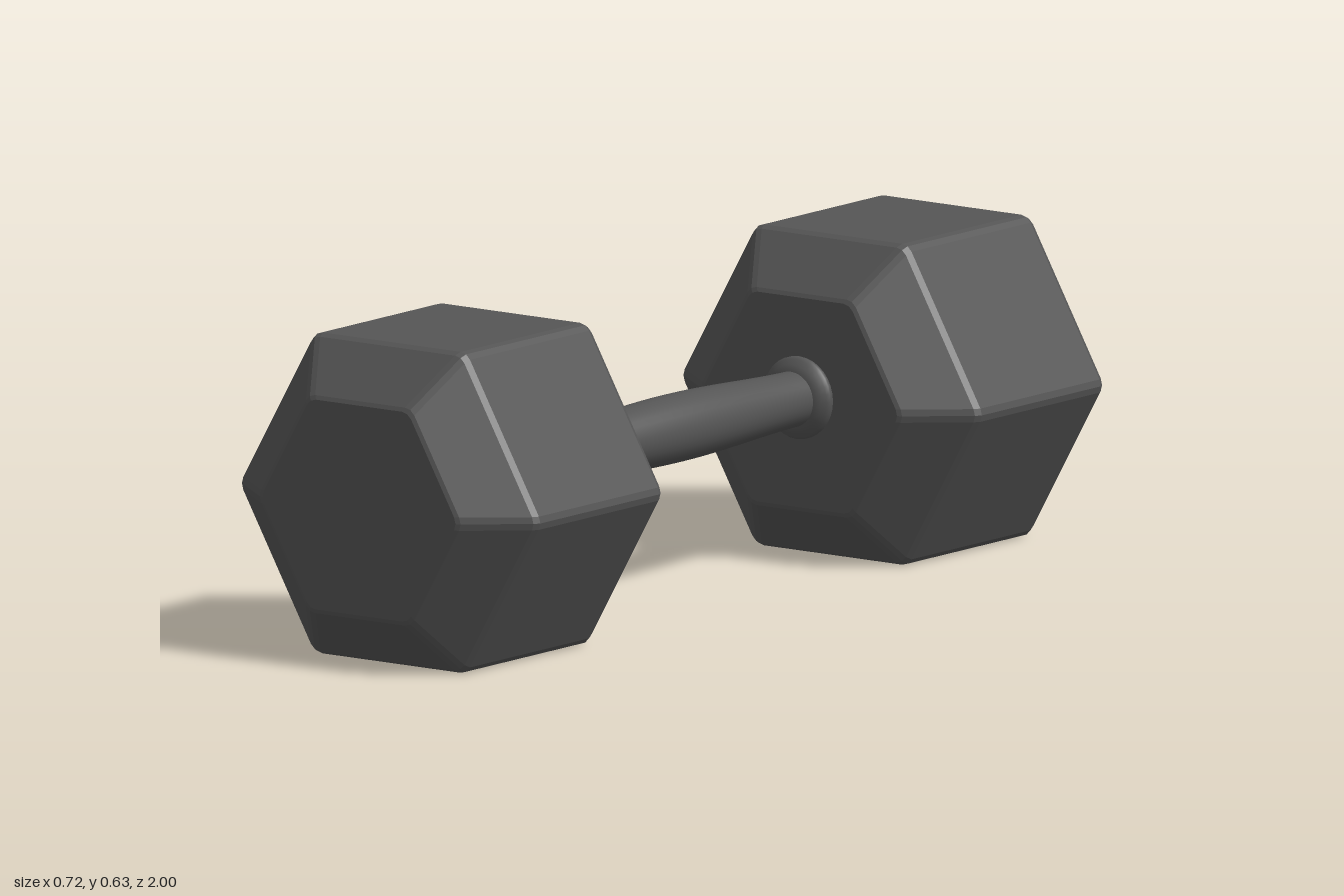
import * as THREE from 'three';

// Hexagon outline with rounded corners: three points per corner, flat sides up and down
function hexRing(apothem, z) {
  const r = 0.026, reach = (apothem - r) / Math.cos(Math.PI / 6), points = [];
  for (let i = 0; i < 6; i++) {
    const a = i * Math.PI / 3;
    for (const turn of [-Math.PI / 6, 0, Math.PI / 6]) {
      points.push([
        reach * Math.cos(a) + r * Math.cos(a + turn),
        reach * Math.sin(a) + r * Math.sin(a + turn), z]);
    }
  }
  return points;
}

// Faceted block joined from hexagon rings, capped at both ends
function headGeometry() {
  const half = [[0.206, 0.295], [0.214, 0.291], [0.309, 0.203], [0.315, 0.19]];
  const rings = [
    ...half.map(([a, z]) => hexRing(a, -z)),
    ...half.slice().reverse().map(([a, z]) => hexRing(a, z))];
  const n = rings[0].length, pos = [];
  const tri = (...corners) => corners.forEach(c => pos.push(...c));
  for (let k = 0; k < rings.length - 1; k++) {
    for (let i = 0; i < n; i++) {
      const j = (i + 1) % n, lo = rings[k], hi = rings[k + 1];
      tri(lo[i], lo[j], hi[j]);
      tri(lo[i], hi[j], hi[i]);
    }
  }
  const first = rings[0], last = rings[rings.length - 1];
  for (let i = 0; i < n; i++) {
    const j = (i + 1) % n;
    tri([0, 0, -0.295], first[j], first[i]);
    tri([0, 0, 0.295], last[i], last[j]);
  }
  const g = new THREE.BufferGeometry();
  g.setAttribute('position', new THREE.Float32BufferAttribute(pos, 3));
  g.computeVertexNormals();
  return g;
}

// Round profile of [radius, z] pairs turned about the z axis
function turned(profile) {
  const g = new THREE.LatheGeometry(profile.map(p => new THREE.Vector2(...p)), 32);
  return g.rotateX(Math.PI / 2);
}

export function createModel() {
  const group = new THREE.Group();
  const rubber = new THREE.MeshStandardMaterial({ color: 0x555555 });
  rubber.name = 'darkGrey';

  const add = (name, geometry, y, z) => {
    const mesh = new THREE.Mesh(geometry, rubber);
    mesh.name = name;
    mesh.position.set(0, y, z);
    group.add(mesh);
    return mesh;
  };

  // Hexagonal weights
  const head = headGeometry();
  add('frontWeight', head, 0.315, 0.705);
  add('backWeight', head, 0.315, -0.705);

  // Grip, swelling towards the middle
  const grip = [];
  for (let i = -12; i <= 12; i++) {
    const t = i / 12;
    grip.push([0.054 + 0.0065 * (1 + Math.cos(Math.PI * t)), 0.42 * t]);
  }
  add('grip', turned(grip), 0.326, 0);

  // Rounded collars where the grip meets the weights
  const collar = turned([
    [0.05, 0.378], [0.06, 0.38], [0.067, 0.385], [0.077, 0.392],
    [0.081, 0.399], [0.081, 0.405], [0.077, 0.415]]);
  add('frontCollar', collar, 0.326, 0);
  add('backCollar', collar, 0.326, 0).rotation.y = Math.PI;

  return group;
}
